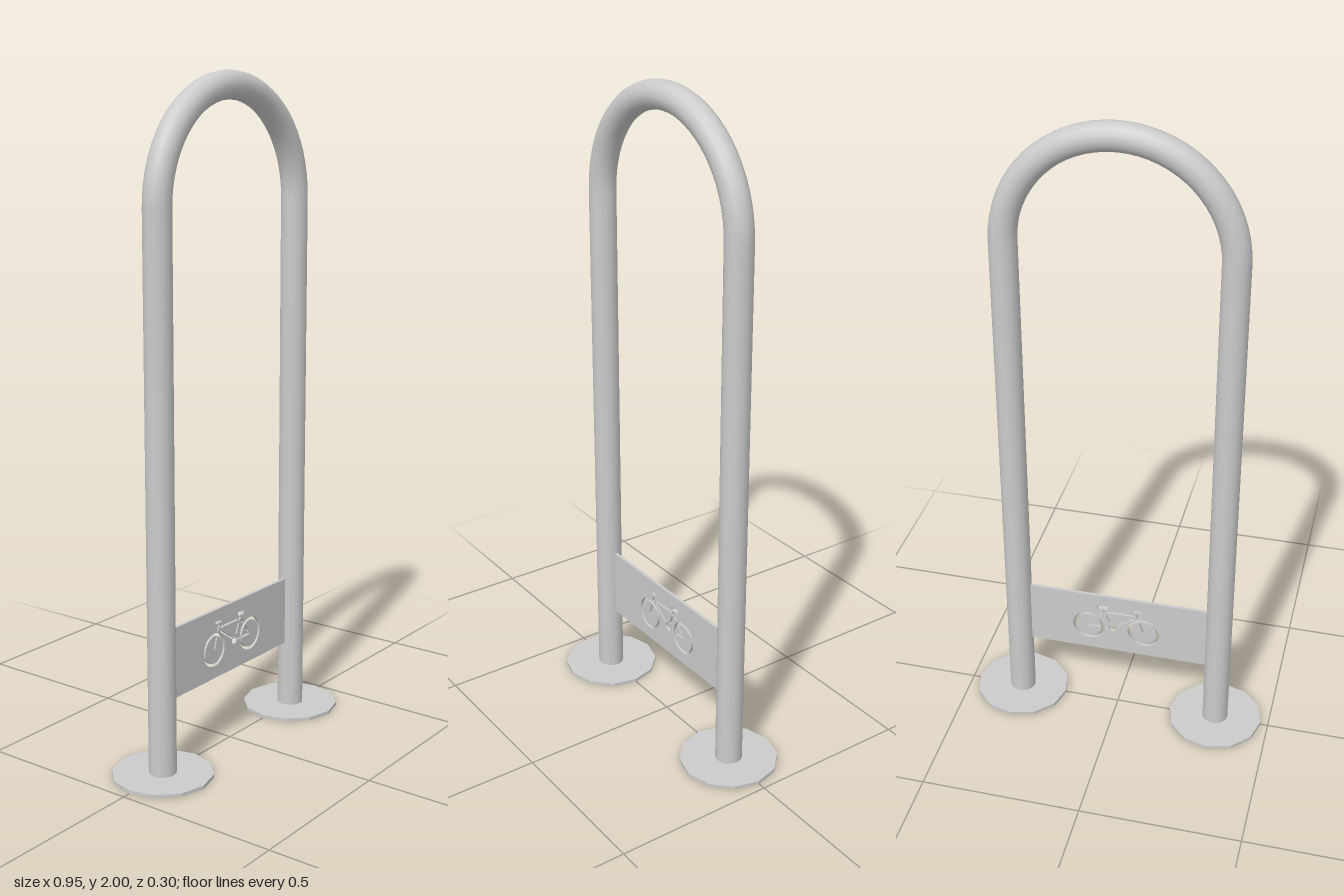
import * as THREE from 'three';

const LEG_X = 0.326, TUBE_R = 0.041, ARCH_Y = 1.633, PLATE_T = 0.01;

// Closed path of a straight slot running from a to b
function slot([ax, ay], [bx, by], width = 0.006) {
  const len = Math.hypot(bx - ax, by - ay);
  const nx = -(by - ay) / len * width / 2, ny = (bx - ax) / len * width / 2;
  return new THREE.Path([
    new THREE.Vector2(ax + nx, ay + ny), new THREE.Vector2(ax - nx, ay - ny),
    new THREE.Vector2(bx - nx, by - ny), new THREE.Vector2(bx + nx, by + ny),
  ]);
}

function circle(x, y, r, Type = THREE.Path) {
  return new Type().absarc(x, y, r, 0, Math.PI * 2, false);
}

export function createModel() {
  const model = new THREE.Group();
  model.name = 'bikeStand';
  const steel = new THREE.MeshStandardMaterial({ color: 0xcacbca, side: THREE.DoubleSide });
  steel.name = 'galvanised steel';

  const add = (name, geometry, x = 0, y = 0, z = 0) => {
    const mesh = new THREE.Mesh(geometry, steel);
    mesh.name = name;
    mesh.position.set(x, y, z);
    model.add(mesh);
  };
  const plate = (shape, depth) =>
    new THREE.ExtrudeGeometry(shape, { depth, bevelEnabled: false, curveSegments: 14 });

  // Bent top of the hoop
  add('arch', new THREE.TorusGeometry(LEG_X, TUBE_R, 16, 32, Math.PI), 0, ARCH_Y, 0);

  // Open tube legs, each on a twelve-sided foot with a hole under the tube
  const footShape = new THREE.Shape(Array.from({ length: 12 }, (_, i) => {
    const a = i * Math.PI / 6;
    return new THREE.Vector2(0.15 * Math.cos(a), 0.15 * Math.sin(a));
  }));
  footShape.holes.push(circle(0, 0, TUBE_R - 0.001));
  const foot = plate(footShape, 0.01).rotateX(-Math.PI / 2);
  const legBase = 0.005;
  const leg = new THREE.CylinderGeometry(TUBE_R, TUBE_R, ARCH_Y - legBase, 16, 1, true);
  for (const [side, s] of [['left', 1], ['right', -1]]) {
    add(side + 'Leg', leg, s * LEG_X, (ARCH_Y + legBase) / 2, 0);
    add(side + 'Foot', foot, s * LEG_X, 0, 0);
  }

  // Cross panel with a bicycle pictogram cut through it
  const panel = new THREE.Shape([
    new THREE.Vector2(-0.29, 0.22), new THREE.Vector2(0.29, 0.22),
    new THREE.Vector2(0.29, 0.434), new THREE.Vector2(-0.29, 0.434),
  ]);
  const front = [-0.085, 0.31], rear = [0.095, 0.31];
  const along = ([x, y], [dx, dy], t) => [x + dx * t, y + dy * t];
  const fork = [0.293, 0.956], stay = [-0.61, 0.793], chain = [-1, 0];
  panel.holes.push(
    circle(...front, 0.052), circle(...rear, 0.052),
    circle(0.016, 0.312, 0.013),                                // crank
    slot(along(front, fork, 0.056), along(front, fork, 0.076)), // fork
    slot(along(rear, stay, 0.056), along(rear, stay, 0.072)),   // seat stay
    slot([0.032, 0.31], [0.041, 0.31]),                         // chain stay
    slot([0.002, 0.322], [-0.054, 0.362]),                      // down tube
    slot([-0.054, 0.373], [0.035, 0.373]),                      // top tube
    slot([0.023, 0.328], [0.037, 0.36]),                        // seat tube
    slot([0.041, 0.367], [0.045, 0.379]),                       // seat post
    slot([0.033, 0.388], [0.065, 0.388], 0.012),                // saddle
    slot([-0.078, 0.392], [-0.05, 0.392], 0.008),               // handlebar
  );
  add('panel', plate(panel, PLATE_T), 0, 0, -PLATE_T / 2);

  // Solid discs left inside the cut wheel rims
  const frontDisc = circle(...front, 0.043, THREE.Shape);
  frontDisc.holes.push(slot(front, along(front, fork, 0.04)));
  const rearDisc = circle(...rear, 0.043, THREE.Shape);
  rearDisc.holes.push(
    slot(rear, along(rear, chain, 0.04)),
    slot(along(rear, stay, 0.012), along(rear, stay, 0.04)),
  );
  add('frontWheelDisc', plate(frontDisc, PLATE_T), 0, 0, -PLATE_T / 2);
  add('rearWheelDisc', plate(rearDisc, PLATE_T), 0, 0, -PLATE_T / 2);

  return model;
}
